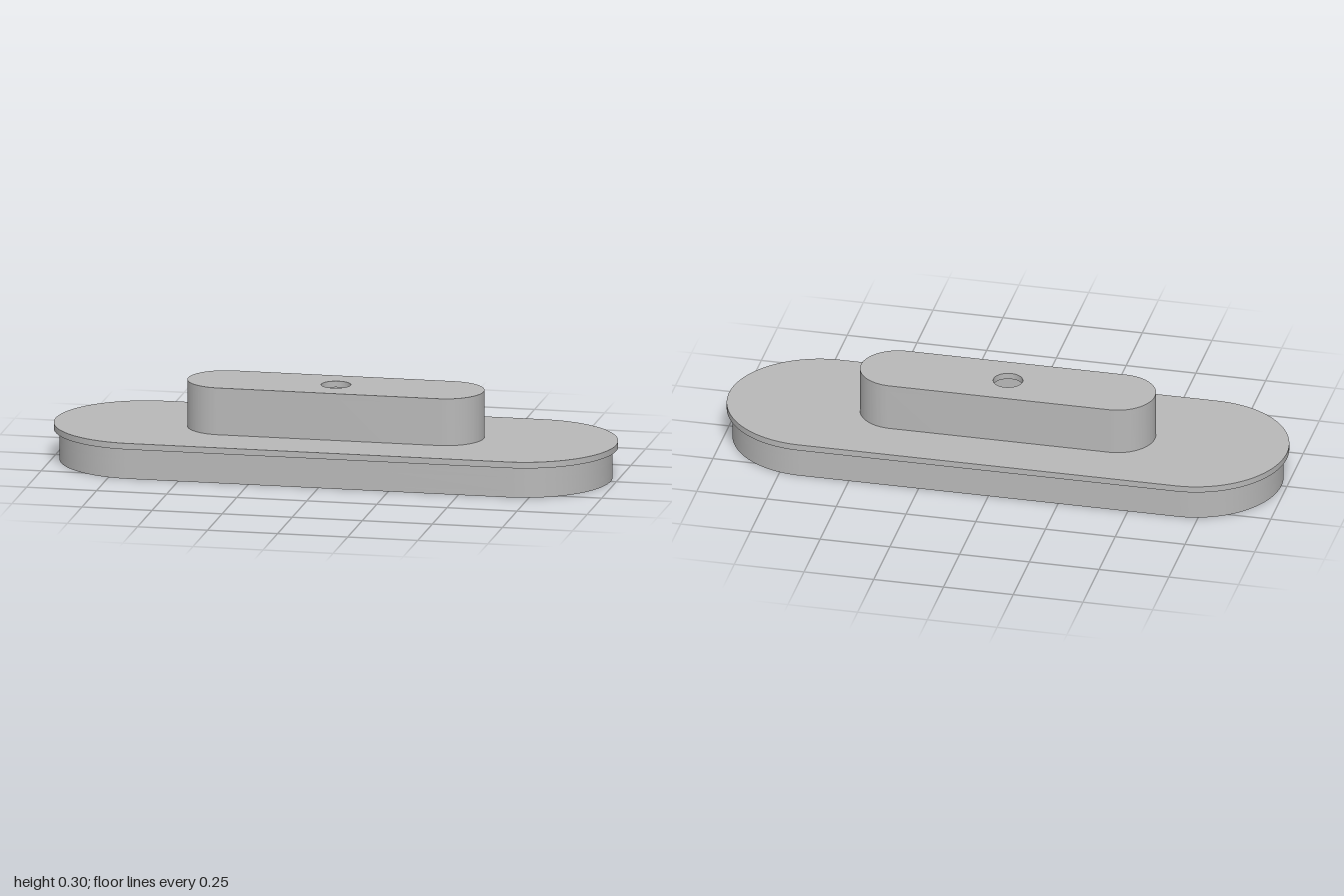
import * as THREE from 'three';
import { toCreasedNormals } from 'three/addons/utils/BufferGeometryUtils.js';

const CORE = 0.675;      // half distance between the end-arc centres of the base
const TOP_CORE = 0.393;  // same for the raised block

// Rounded slot outline; notches are cut outwards into both straight sides
function stadium(path, core, r, notches = [], width = 0, depth = 0) {
  const side = (s) => {
    for (const x of notches) {
      const a = s * (x - width / 2), b = s * (x + width / 2);
      path.lineTo(a, -s * r);
      path.lineTo(a, -s * (r + depth));
      path.lineTo(b, -s * (r + depth));
      path.lineTo(b, -s * r);
    }
    path.lineTo(s * core, -s * r);
  };
  path.moveTo(-core, -r);
  side(1);
  path.absarc(core, 0, r, -Math.PI / 2, Math.PI / 2, false);
  side(-1);
  path.absarc(-core, 0, r, Math.PI / 2, Math.PI * 1.5, false);
  return path;
}

export function createModel() {
  const group = new THREE.Group();
  const grey = new THREE.MeshStandardMaterial({ color: 0xb8b8b8 });
  grey.name = 'grey plastic';

  const add = (name, geometry) => {
    const mesh = new THREE.Mesh(toCreasedNormals(geometry, 0.5), grey);
    mesh.name = name;
    group.add(mesh);
    return mesh;
  };

  // Extrude an outline upwards from y0 to y1
  const slab = (name, outer, hole, y0, y1) => {
    if (hole) outer.holes.push(hole);
    const geo = new THREE.ExtrudeGeometry(outer, { depth: y1 - y0, bevelEnabled: false, curveSegments: 32 });
    geo.rotateX(-Math.PI / 2);
    geo.translate(0, y0, 0);
    return add(name, geo);
  };
  const outline = (core, r) => stadium(new THREE.Shape(), core, r);
  const opening = (core, r, ...notch) => stadium(new THREE.Path(), core, r, ...notch);

  // Skirt wall: two lips with a groove between them, then a band with snap slots inside
  const OUT = 0.305, IN = 0.272;
  slab('outerLip', outline(CORE, OUT), opening(CORE, 0.295), 0, 0.02);
  slab('innerLip', outline(CORE, 0.283), opening(CORE, IN), 0, 0.02);
  slab('skirtLower', outline(CORE, OUT), opening(CORE, IN), 0.02, 0.07);
  slab('skirtSlots', outline(CORE, OUT),
    opening(CORE, IN, [-0.56, -0.32, 0.32, 0.56], 0.09, 0.012), 0.07, 0.093);
  slab('skirtUpper', outline(CORE, OUT), opening(CORE, IN), 0.093, 0.11);

  // Flange plate, open into the hollow raised block
  slab('flange', outline(CORE, 0.325), opening(TOP_CORE, 0.11), 0.11, 0.132);
  slab('raisedWall', outline(TOP_CORE, 0.134), opening(TOP_CORE, 0.11), 0.132, 0.278);

  // Roof of the raised block with its round through hole
  const cableHole = new THREE.Path().absarc(0, 0, 0.052, 0, Math.PI * 2, false);
  slab('raisedRoof', outline(TOP_CORE, 0.134), cableHole, 0.278, 0.3);

  // Four screw bosses hanging under the flange, each with a blind hole
  const profile = [[0, 0.095], [0.012, 0.095], [0.012, 0.043], [0.026, 0.043], [0.026, 0.11]]
    .map(([x, y]) => new THREE.Vector2(x, y));
  for (const x of [-0.17, 0.17]) {
    for (const z of [-0.17, 0.17]) {
      add('screwBoss', new THREE.LatheGeometry(profile, 32)).position.set(x, 0, z);
    }
  }
  return group;
}
